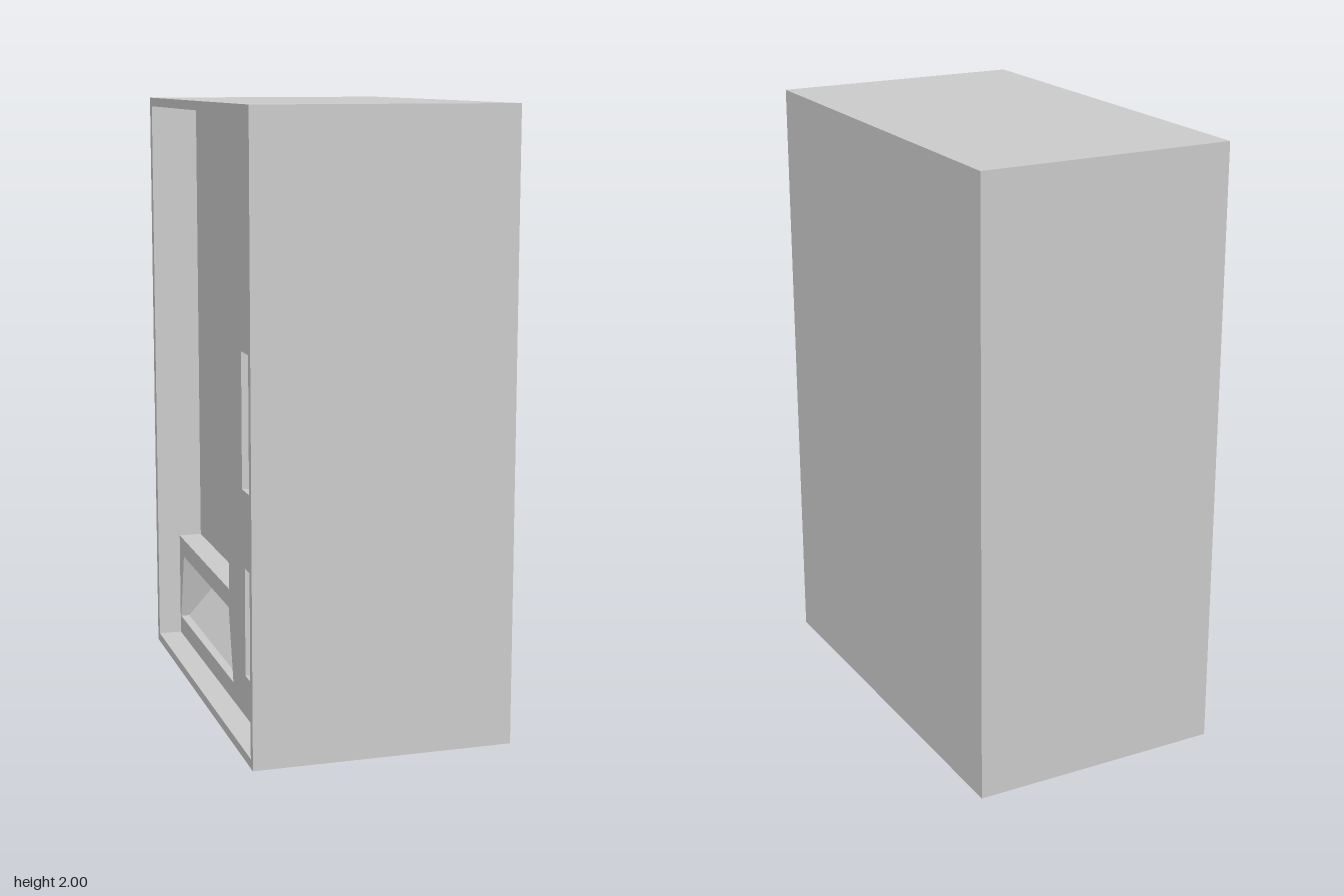
import * as THREE from 'three';

const FRONT = -0.42; // x of the service face; depth is measured inward from it

export function createModel() {
  const group = new THREE.Group();
  const mat = new THREE.MeshStandardMaterial({ color: 0xcccccc, flatShading: true });

  const add = (name, geo) => {
    const mesh = new THREE.Mesh(geo, mat);
    mesh.name = name;
    group.add(mesh);
    return mesh;
  };
  // Corners in (z, y)
  const rect = (z0, z1, y0, y1) =>
    [[z0, y0], [z1, y0], [z1, y1], [z0, y1]].map(p => new THREE.Vector2(...p));

  // Slab between two depths, with openings cut through it
  const layer = (name, outline, holes, d0, d1) => {
    const shape = new THREE.Shape(outline);
    for (const h of holes) shape.holes.push(new THREE.Path(h));
    const geo = new THREE.ExtrudeGeometry(shape, { depth: d1 - d0, bevelEnabled: false });
    geo.rotateY(-Math.PI / 2).translate(FRONT + d1, 0, 0);
    return add(name, geo);
  };
  // Sloping back of a chute, deeper towards the top
  const chute = (name, z0, z1, y0, y1, dLow, dTop, dBack) => {
    const shape = new THREE.Shape(
      [[dLow, y0], [dBack, y0], [dBack, y1], [dTop, y1]].map(([d, y]) => new THREE.Vector2(FRONT + d, y)));
    const geo = new THREE.ExtrudeGeometry(shape, { depth: z1 - z0, bevelEnabled: false });
    add(name, geo.translate(0, 0, z0));
  };

  const full = rect(-0.7, 0.7, 0, 2);
  const windowHole = rect(-0.67, 0.09, 0.4, 1.97);
  const keypadHole = rect(0.275, 0.595, 0.78, 1.225);
  const returnHole = rect(0.303, 0.584, 0.168, 0.527);
  const binHole = [[-0.66, 0.094], [0.14, 0.094], [0.082, 0.336], [-0.602, 0.336]]
    .map(p => new THREE.Vector2(...p));

  // Cabinet, from the rim inward
  layer('rim', full, [rect(-0.67, 0.675, 0.03, 1.97)], 0, 0.08);
  layer('facePanel', full, [windowHole, keypadHole, returnHole, binHole], 0.08, 0.16);
  layer('windowBacking', full, [returnHole, binHole], 0.16, 0.34);
  layer('cabinetBody', full, [], 0.34, 0.84);

  // Collection bin and change return
  chute('collectionBinFlap', -0.66, 0.14, 0.094, 0.336, 0.11, 0.3, 0.34);
  chute('changeReturnFlap', 0.303, 0.584, 0.168, 0.527, 0.104, 0.25, 0.34);

  // Keypad recess floor and its 3 x 3 keys
  layer('keypadPlate', rect(0.275, 0.595, 0.78, 1.225), [], 0.115, 0.16);
  for (let row = 0; row < 3; row++) {
    for (let col = 0; col < 3; col++) {
      const z = 0.344 + col * 0.065, y = 1.08 - row * 0.068;
      layer('key', rect(z - 0.02, z + 0.02, y - 0.022, y + 0.022), [], 0.095, 0.115);
    }
  }

  // Small slotted reader beside the keys
  layer('readerPlate', rect(0.505, 0.585, 0.94, 1.1), [], 0.108, 0.115);
  for (let i = 0; i < 6; i++) {
    const y = 0.952 + i * 0.025;
    layer('readerRib', rect(0.515, 0.575, y, y + 0.012), [], 0.1, 0.108);
  }
  return group;
}
